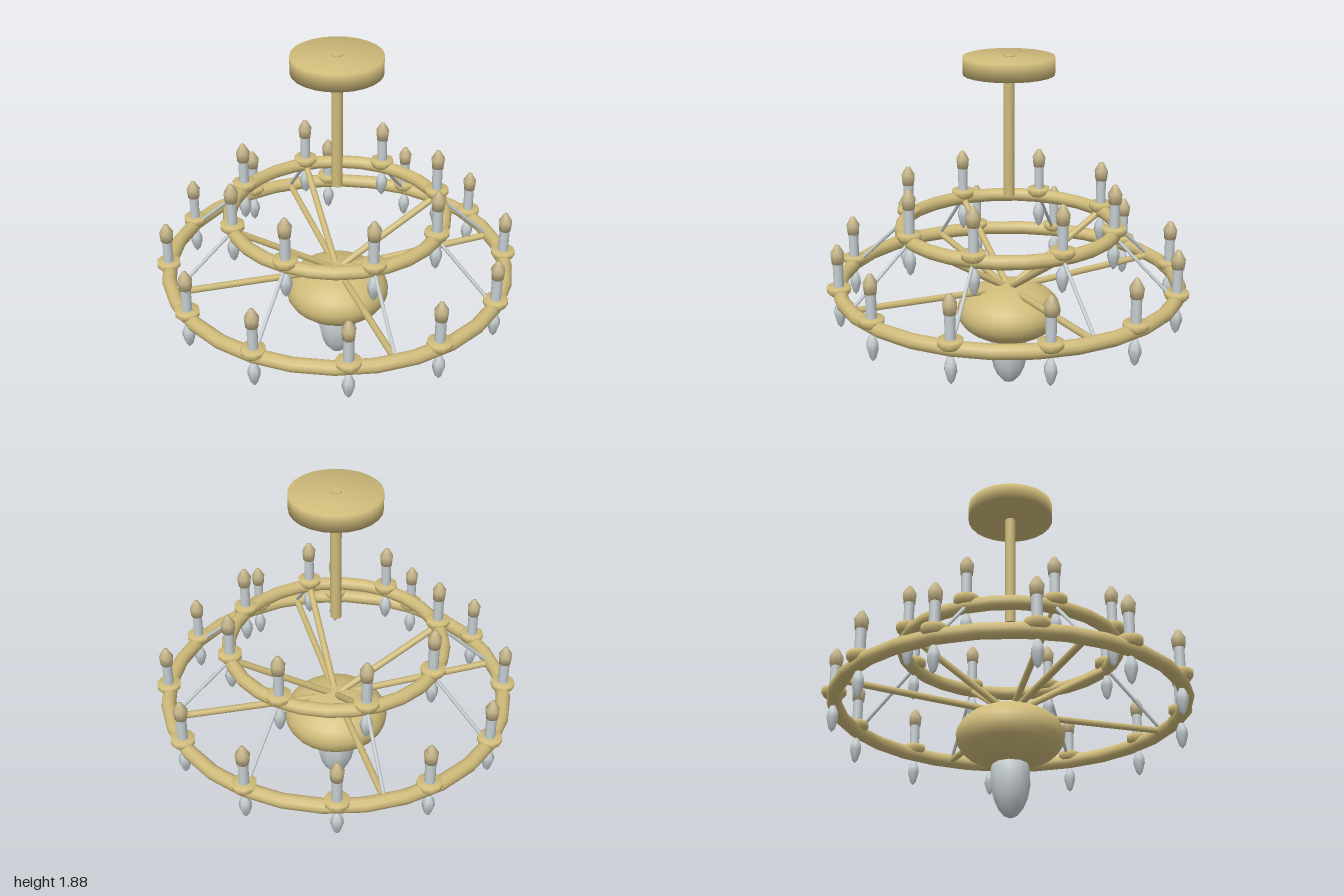
import * as THREE from 'three';

const material = (name, color, flatShading = false) => {
  const m = new THREE.MeshStandardMaterial({ color });
  m.name = name;
  m.flatShading = flatShading;
  return m;
};

export function createModel() {
  const brass = material('brass', 0xcfbb7a);
  const crystal = material('crystal', 0xc6ced1);
  const bulb = material('bulb', 0xc6b68a);

  const model = new THREE.Group();
  model.name = 'chandelier';

  const add = (parent, name, geometry, mat, x = 0, y = 0, z = 0) => {
    const mesh = new THREE.Mesh(geometry, mat);
    mesh.name = name;
    mesh.position.set(x, y, z);
    parent.add(mesh);
    return mesh;
  };
  const lathe = (points, sides) =>
    new THREE.LatheGeometry(points.map(([r, y]) => new THREE.Vector2(r, y)), sides);
  // Straight round bar between two points
  const bar = (name, a, b, radius, mat) => {
    const dir = b.clone().sub(a);
    const mesh = add(model, name, new THREE.CylinderGeometry(radius, radius, dir.length(), 8), mat);
    mesh.position.copy(a).add(b).multiplyScalar(0.5);
    mesh.quaternion.setFromUnitVectors(new THREE.Vector3(0, 1, 0), dir.normalize());
  };
  const polar = (r, y, angle) => new THREE.Vector3(r * Math.sin(angle), y, r * Math.cos(angle));

  // Ceiling canopy and hanging stem
  add(model, 'canopy', lathe([[0, 1.78], [0.242, 1.78], [0.242, 1.875], [0, 1.875]], 24), brass);
  add(model, 'stem', new THREE.CylinderGeometry(0.03, 0.03, 0.76, 12), brass, 0, 1.5, 0);

  // Central bowl and its large pendant
  const bowl = add(model, 'bowl', new THREE.SphereGeometry(0.29, 24, 14), brass, 0, 0.45, 0);
  bowl.scale.y = 0.57;
  add(model, 'pendant', lathe([[0, 0.005], [0.035, 0.02], [0.068, 0.06], [0.092, 0.115],
    [0.108, 0.19], [0.104, 0.27], [0.08, 0.33], [0, 0.37]], 10), crystal);

  // Shared shapes of a candle holder, measured from the ring centre line
  const cupShape = lathe([[0, 0.003], [0.05, 0.003], [0.066, 0.022], [0.066, 0.05], [0, 0.05]], 10);
  const candleShape = new THREE.CylinderGeometry(0.028, 0.028, 0.15, 10);
  const bulbShape = lathe([[0, 0.18], [0.033, 0.18], [0.039, 0.235], [0.012, 0.282], [0, 0.286]], 8);
  const dropShape = lathe([[0, -0.19], [0.018, -0.17], [0.034, -0.115], [0.032, -0.085],
    [0.016, -0.048], [0, -0.04]], 6);

  // Two rings, each carrying candles above and drops below
  const upper = { name: 'upperRing', radius: 0.585, y: 0.945, tube: 0.038, count: 8 };
  const lower = { name: 'lowerRing', radius: 0.934, y: 0.62, tube: 0.04, count: 12 };
  for (const { name, radius, y, tube, count } of [upper, lower]) {
    const ring = add(model, name, new THREE.TorusGeometry(radius, tube, 10, 28), brass, 0, y, 0);
    ring.rotation.x = Math.PI / 2;
    for (let i = 0; i < count; i++) {
      const holder = new THREE.Group();
      holder.name = 'candleHolder';
      holder.position.copy(polar(radius, y, (i / count) * Math.PI * 2));
      add(holder, 'cup', cupShape, brass);
      add(holder, 'candle', candleShape, crystal, 0, 0.115, 0);
      add(holder, 'bulb', bulbShape, bulb);
      add(holder, 'drop', dropShape, crystal);
      model.add(holder);
    }
  }

  // Slim links join the rings; brass arms run from the bowl on the diagonals
  for (let i = 0; i < 8; i++) {
    const angle = (i * Math.PI) / 4;
    bar('link', polar(0.585, 0.945, angle), polar(0.915, 0.63, angle), 0.01, crystal);
    if (i % 2) {
      const hub = new THREE.Vector3(0, 0.58, 0);
      bar('upperArm', hub, polar(0.585, 0.945, angle), 0.019, brass);
      bar('lowerArm', hub, polar(0.915, 0.62, angle), 0.019, brass);
    }
  }
  return model;
}
